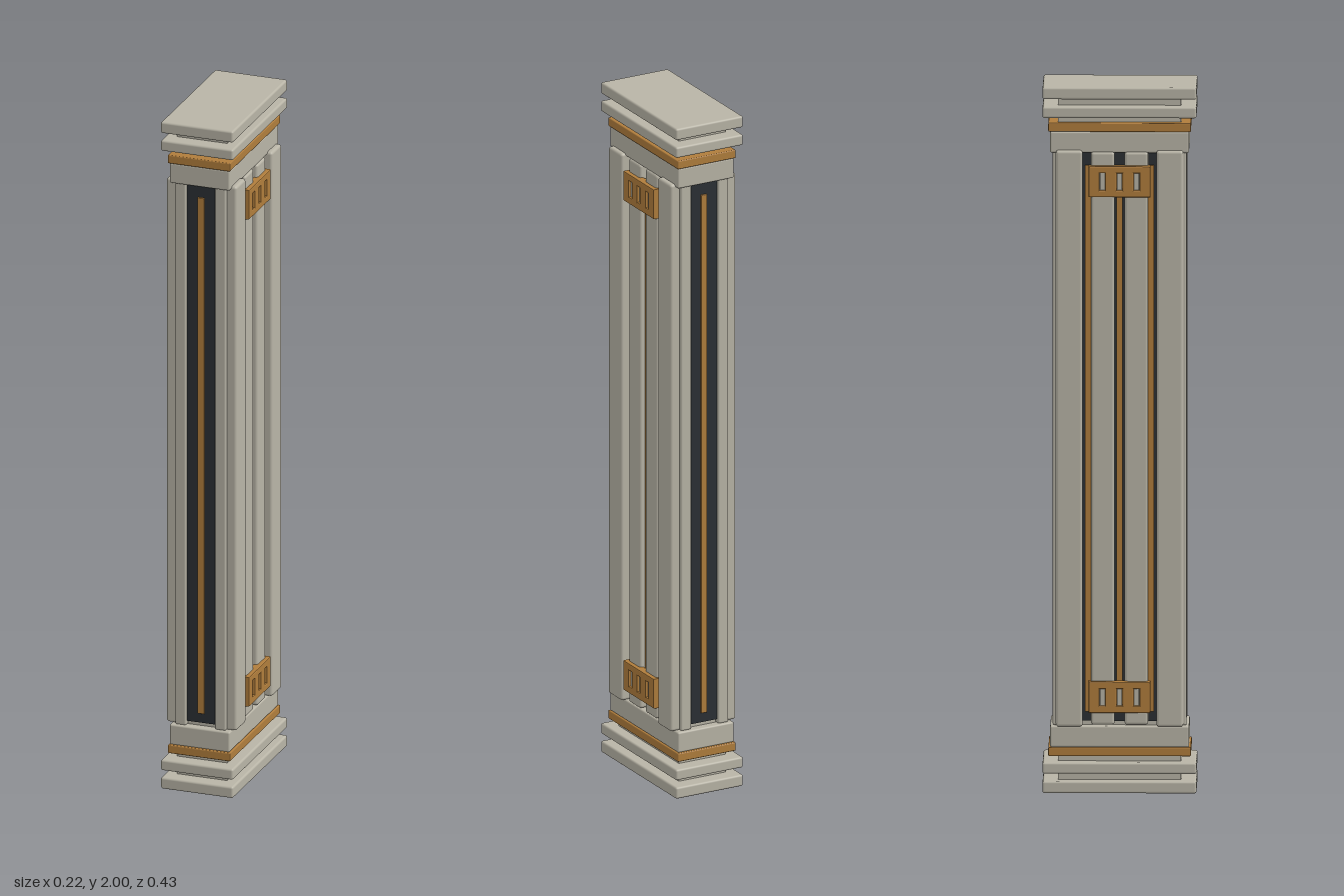
import * as THREE from 'three';
import { RoundedBoxGeometry } from 'three/addons/geometries/RoundedBoxGeometry.js';

const stone = new THREE.MeshStandardMaterial({ color: 0xb8b4a6 });
const bronze = new THREE.MeshStandardMaterial({ color: 0xb07d3c });
const dark = new THREE.MeshStandardMaterial({ color: 0x2b3034 });

// Box given by its ranges on x, y and z, with softened edges when r > 0
function block(parent, name, material, [x0, x1], [y0, y1], [z0, z1], r = 0) {
  const size = [x1 - x0, y1 - y0, z1 - z0];
  const geometry = r > 0
    ? new RoundedBoxGeometry(...size, 3, r)
    : new THREE.BoxGeometry(...size);
  const mesh = new THREE.Mesh(geometry, material);
  mesh.name = name;
  mesh.position.set((x0 + x1) / 2, (y0 + y1) / 2, (z0 + z1) / 2);
  parent.add(mesh);
  return mesh;
}

const span = (h) => [-h, h];

// Stepped moulding, listed from the outer end inwards
function createMoulding(name) {
  const group = new THREE.Group();
  group.name = name;
  const layers = [
    ['outerSlab', stone, 0.108, 0.215, 0, 0.034, 0.006],
    ['outerNeck', stone, 0.075, 0.172, 0.034, 0.055, 0],
    ['innerSlab', stone, 0.108, 0.215, 0.055, 0.087, 0.006],
    ['innerNeck', stone, 0.075, 0.172, 0.087, 0.103, 0],
    ['bronzeBand', bronze, 0.093, 0.199, 0.103, 0.128, 0.003],
    ['collar', stone, 0.09, 0.194, 0.128, 0.188, 0.005],
  ];
  for (const [part, material, hx, hz, y0, y1, r] of layers) {
    block(group, part, material, span(hx), [y0, y1], span(hz), r);
  }
  return group;
}

// Bronze clasp with three slots, lying across the middle pillars
function createClasp() {
  const w = 0.083, h = 0.041;
  const shape = new THREE.Shape([
    new THREE.Vector2(-w, -h), new THREE.Vector2(w, -h),
    new THREE.Vector2(w, h), new THREE.Vector2(-w, h),
  ]);
  for (const x of [-0.048, 0, 0.048]) {
    shape.holes.push(new THREE.Path([
      new THREE.Vector2(x - 0.011, -0.027), new THREE.Vector2(x - 0.011, 0.027),
      new THREE.Vector2(x + 0.011, 0.027), new THREE.Vector2(x + 0.011, -0.027),
    ]));
  }
  const geometry = new THREE.ExtrudeGeometry(shape, {
    depth: 0.018, bevelEnabled: true, bevelThickness: 0.004, bevelSize: 0.003, bevelSegments: 2,
  });
  const group = new THREE.Group();
  group.name = 'clasp';
  const plate = new THREE.Mesh(geometry, bronze);
  plate.name = 'claspPlate';
  group.add(plate);
  // Stone behind the slots
  for (const x of [-0.048, 0, 0.048]) {
    block(group, 'slotInlay', stone, [x - 0.007, x + 0.007], span(0.024), [-0.002, 0.014]);
  }
  return group;
}

// One long side, built facing +x
function createSide() {
  const group = new THREE.Group();
  group.name = 'pillarSide';
  block(group, 'sideRecess', dark, [0.06, 0.073], [0.2, 1.81], span(0.108));
  for (const s of [-1, 1]) {
    const pier = s > 0 ? [0.103, 0.178] : [-0.178, -0.103];
    block(group, 'cornerPier', stone, [0.045, 0.105], [0.188, 1.82], pier, 0.008);
    const pillar = s > 0 ? [0.014, 0.08] : [-0.08, -0.014];
    block(group, 'middlePillar', stone, [0.06, 0.095], [0.192, 1.815], pillar, 0.008);
  }
  for (const z of [-0.088, 0, 0.088]) {
    block(group, 'sideBronzeStrip', bronze, [0.07, 0.082], [0.228, 1.775], [z - 0.008, z + 0.008]);
  }
  for (const y of [0.272, 1.733]) {
    const clasp = createClasp();
    clasp.rotation.y = Math.PI / 2;
    clasp.position.set(0.086, y, 0);
    group.add(clasp);
  }
  return group;
}

// One narrow face, built facing +z
function createEnd() {
  const group = new THREE.Group();
  group.name = 'pillarEnd';
  block(group, 'endPanel', dark, span(0.045), [0.2, 1.81], [0.16, 0.179]);
  block(group, 'endBronzeStrip', bronze, span(0.01), [0.228, 1.775], [0.17, 0.184], 0.002);
  for (const s of [-1, 1]) {
    const frame = s > 0 ? [0.043, 0.076] : [-0.076, -0.043];
    block(group, 'endFrame', stone, frame, [0.188, 1.82], [0.15, 0.187], 0.005);
  }
  return group;
}

export function createModel() {
  const model = new THREE.Group();
  model.name = 'column';

  // Base and capital mirror each other
  model.add(createMoulding('base'));
  const capital = createMoulding('capital');
  capital.rotation.x = Math.PI;
  capital.position.y = 2;
  model.add(capital);

  // Shaft
  block(model, 'core', stone, span(0.068), [0.18, 1.83], span(0.17));
  for (const turn of [0, Math.PI]) {
    const side = createSide();
    const end = createEnd();
    side.rotation.y = turn;
    end.rotation.y = turn;
    model.add(side, end);
  }
  return model;
}
